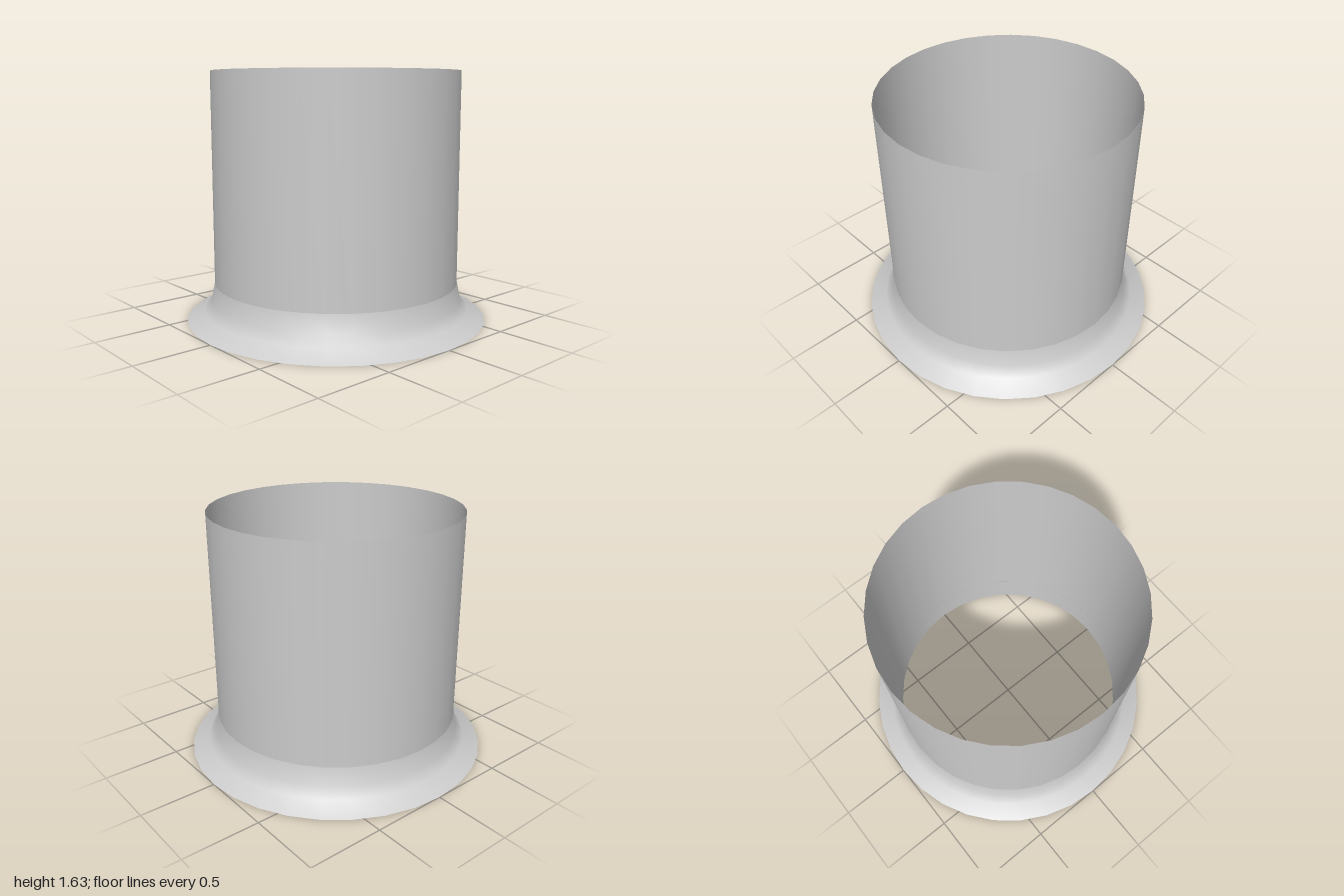
import * as THREE from 'three';

const SIDES = 32;

export function createModel() {
  const group = new THREE.Group();
  group.name = 'flangedSleeve';
  const material = new THREE.MeshStandardMaterial({ color: 0xcccccc, side: THREE.DoubleSide });

  // Revolve a bottom-to-top profile of [radius, height] pairs
  const addRing = (name, profile) => {
    const points = profile.map(([r, y]) => new THREE.Vector2(r, y));
    const mesh = new THREE.Mesh(new THREE.LatheGeometry(points, SIDES), material);
    mesh.name = name;
    group.add(mesh);
  };

  // Thin open sleeve, running down to the ground inside the flange
  addRing('sleeve', [[0.815, 0], [0.815, 1.63]]);

  // Flared skirt, open underneath
  addRing('flange', [[1, 0], [0.888, 0.063], [0.838, 0.125], [0.814, 0.245]]);

  return group;
}
